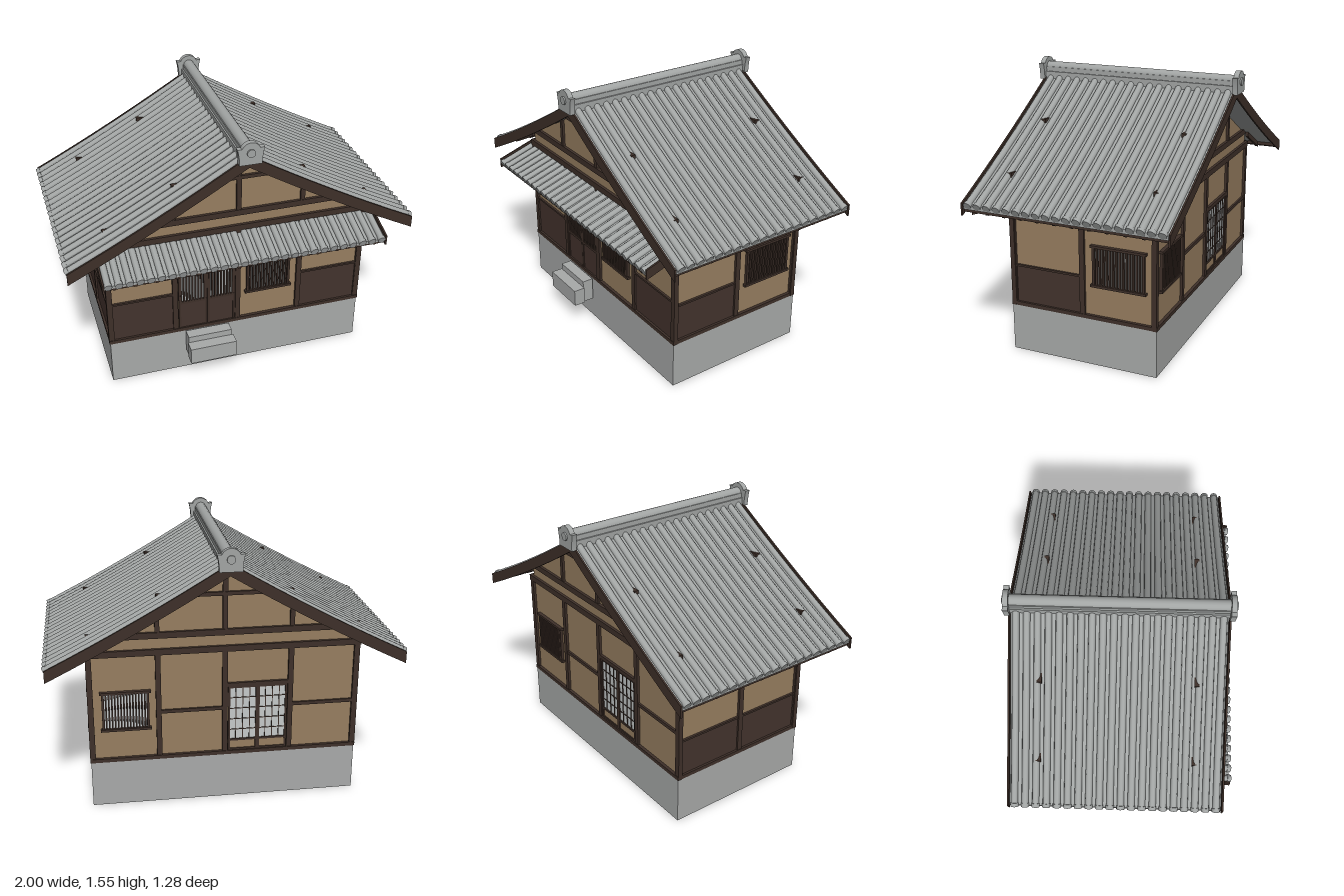
import * as THREE from 'three';

const mat = (name, color) => Object.assign(new THREE.MeshStandardMaterial({ color }), { name });

export function createModel() {
  const root = new THREE.Group();
  root.name = 'tiledHouse';
  const stone = mat('stone grey', 0xa8aaa9);
  const tile = mat('roof tile grey', 0xa2a5a4);
  const plaster = mat('tan plaster', 0x977e60);
  const wood = mat('dark timber', 0x3e3029);
  const board = mat('wainscot board', 0x43332d);
  const paper = mat('window paper', 0xc6caca);

  const add = (parent, name, geo, m) => {
    const mesh = new THREE.Mesh(geo, m);
    mesh.name = name;
    parent.add(mesh);
    return mesh;
  };
  // Box given by its limits
  const box = (parent, name, m, x0, x1, y0, y1, z0, z1) => {
    const mesh = add(parent, name, new THREE.BoxGeometry(x1 - x0, y1 - y0, z1 - z0), m);
    mesh.position.set((x0 + x1) / 2, (y0 + y1) / 2, (z0 + z1) / 2);
    return mesh;
  };
  const group = (name, parent = root) => {
    const g = new THREE.Group();
    g.name = name;
    parent.add(g);
    return g;
  };
  const extrude = (pts, depth) => new THREE.ExtrudeGeometry(
    new THREE.Shape(pts.map(p => new THREE.Vector2(...p))), { depth, bevelEnabled: false });

  // Roof heights: slightly sagging main slope, straight front canopy
  const roofY = x => 1.458 - 0.551 * x - 0.06 * x * (1 - x);
  const canopyY = z => 0.915 - 0.33 * (z - 0.42);
  // Band following a slope between two offsets
  const band = (f, a, b, top, bottom, n = 8) => {
    const up = [], low = [];
    for (let i = 0; i <= n; i++) {
      const x = a + (b - a) * i / n;
      up.push([x, f(x) + top]);
      low.push([x, f(x) + bottom]);
    }
    return low.concat(up.reverse());
  };

  // Stone base, open underneath
  const base = group('base');
  box(base, 'baseFront', stone, -0.765, 0.765, 0, 0.275, 0.417, 0.425);
  box(base, 'baseBack', stone, -0.765, 0.765, 0, 0.275, -0.45, -0.442);
  for (const s of [-1, 1])
    box(base, 'baseSide', stone, s * 0.761 - 0.004, s * 0.761 + 0.004, 0, 0.275, -0.442, 0.417);
  box(base, 'baseFloor', stone, -0.757, 0.757, 0.262, 0.274, -0.442, 0.417);
  box(base, 'upperStep', stone, -0.32, -0.06, 0.135, 0.275, 0.435, 0.5);
  box(base, 'lowerStep', stone, -0.325, -0.05, 0.135, 0.237, 0.5, 0.567);

  // Plaster body with gables
  const body = [[-0.75, 0.278], [0.75, 0.278], [0.75, roofY(0.75) - 0.035], [0.4, roofY(0.4) - 0.035],
    [0, roofY(0) - 0.035], [-0.4, roofY(0.4) - 0.035], [-0.75, roofY(0.75) - 0.035]];
  add(root, 'plasterBody', extrude(body, 0.845), plaster).position.z = -0.435;

  // Wall faces: local x along the wall, local z outward
  const face = (name, x, z, turn) => {
    const g = group(name);
    g.position.set(x, 0, z);
    g.rotation.y = turn;
    return g;
  };
  const front = face('frontWall', 0, 0.41, 0);
  const back = face('backWall', 0, -0.435, Math.PI);
  const right = face('leftSideWall', 0.75, -0.0125, Math.PI / 2);
  const left = face('rightSideWall', -0.75, -0.0125, -Math.PI / 2);

  const wainscot = (w, u0, u1, top) => {
    box(w, 'wainscot', board, u0, u1, 0.29, top, 0, 0.005);
    box(w, 'wainscotRail', wood, u0, u1, top - 0.005, top + 0.006, 0, 0.013);
  };
  const bars = (w, u0, u1, y0, y1, n, depth = 0.016) => {
    box(w, 'paper', paper, u0, u1, y0, y1, 0, 0.003);
    const pitch = (u1 - u0) / n;
    for (let i = 0; i <= n; i++)
      box(w, 'latticeBar', wood, u0 + i * pitch - pitch * 0.27, u0 + i * pitch + pitch * 0.27, y0, y1, 0.003, depth);
  };
  const latticeWindow = (w, c, half) => {
    const g = group('latticeWindow', w);
    bars(g, c - half, c + half, 0.475, 0.695, 15);
    for (const y of [0.472, 0.697])
      box(g, 'windowRail', wood, c - half - 0.017, c + half + 0.017, y - 0.007, y + 0.007, 0, 0.022);
    for (const s of [-1, 1])
      box(g, 'windowJamb', wood, c + s * half - 0.007, c + s * half + 0.007, 0.47, 0.7, 0, 0.017);
  };

  // Posts and sills on all sides
  for (const [w, half] of [[front, 0.755], [back, 0.755], [right, 0.422], [left, 0.422]]) {
    const long = half > 0.5;
    const posts = long ? [-0.755, -0.375, 0, 0.375, 0.755] : [-half, 0, half];
    for (const u of posts) box(w, 'post', wood, u - 0.015, u + 0.015, 0.28, 0.93, -0.012, 0.015);
    box(w, 'sill', wood, -half - 0.015, half + 0.015, 0.273, 0.295, -0.01, 0.018);
    if (!long) box(w, 'wallPlate', wood, -half, half, 0.9, 0.95, -0.01, 0.015);
  }

  // Front bays: boards, lattice door, window
  wainscot(front, -0.74, -0.39, 0.54);
  wainscot(front, 0.39, 0.74, 0.54);
  latticeWindow(front, 0.185, 0.125);
  box(front, 'doorLintel', wood, -0.36, -0.015, 0.705, 0.728, 0, 0.016);
  for (const u of [-0.355, -0.185]) {
    const door = group('latticeDoor', front);
    box(door, 'doorPanel', board, u, u + 0.168, 0.295, 0.475, 0, 0.009);
    box(door, 'doorMidRail', wood, u, u + 0.168, 0.465, 0.48, 0, 0.014);
    box(door, 'doorTopRail', wood, u, u + 0.168, 0.69, 0.706, 0, 0.014);
    for (const e of [u + 0.006, u + 0.162])
      box(door, 'doorStile', wood, e - 0.006, e + 0.006, 0.295, 0.7, 0, 0.013);
    bars(door, u + 0.014, u + 0.154, 0.48, 0.69, 8, 0.014);
  }

  // Back bays: window, rails, paper doors
  latticeWindow(back, -0.56, 0.125);
  for (const u of [-0.36, 0.39]) box(back, 'midRail', wood, u, u + 0.35, 0.555, 0.575, 0, 0.012);
  box(back, 'doorLintel', wood, 0.015, 0.36, 0.695, 0.718, 0, 0.016);
  for (const u of [0.018, 0.188]) {
    const door = group('paperDoor', back);
    box(door, 'doorPaper', paper, u, u + 0.17, 0.36, 0.7, 0, 0.004);
    box(door, 'doorKickPanel', plaster, u, u + 0.17, 0.295, 0.36, 0, 0.005);
    for (const y of [0.3, 0.36, 0.69])
      box(door, 'doorRail', wood, u, u + 0.17, y - 0.006, y + 0.006, 0, 0.011);
    for (let i = 1; i < 5; i++)
      box(door, 'doorMuntin', wood, u, u + 0.17, 0.357 + i * 0.066, 0.361 + i * 0.066, 0, 0.008);
    for (let i = 0; i <= 4; i++) {
      const h = i % 4 ? 0.0022 : 0.006, c = u + 0.006 + i * 0.0395;
      box(door, 'doorStile', wood, c - h, c + h, i % 4 ? 0.36 : 0.295, 0.695, 0, i % 4 ? 0.008 : 0.011);
    }
  }

  // Side bays
  wainscot(right, -0.41, -0.015, 0.512);
  latticeWindow(right, 0.215, 0.145);
  wainscot(left, -0.41, -0.015, 0.512);
  wainscot(left, 0.015, 0.41, 0.512);

  // Gable timbers, the beam ends rising through the roof
  for (const w of [front, back]) {
    const g = group('gableFrame', w);
    box(g, 'lowerTie', wood, -0.775, 0.775, 0.91, 0.945, -0.01, 0.017);
    box(g, 'gableBeam', wood, -0.762, 0.762, 1.008, 1.043, -0.01, 0.017);
    box(g, 'collarBeam', wood, -0.378, 0.378, 1.236, 1.257, -0.01, 0.016);
    box(g, 'kingPost', wood, -0.014, 0.014, 1.04, 1.41, -0.01, 0.014);
    for (const s of [-1, 1]) box(g, 'gableStrut', wood, s * 0.375 - 0.013, s * 0.375 + 0.013, 1.04, 1.21, -0.01, 0.014);
  }

  // One round tile row with its end cap
  const tileRow = (parent, pts, r) => {
    const v = pts.map(p => new THREE.Vector3(...p));
    add(parent, 'tileRow', new THREE.TubeGeometry(new THREE.CatmullRomCurve3(v), 8, r, 10), tile);
    const end = v[v.length - 1];
    const dir = end.clone().sub(v[v.length - 2]).normalize();
    const cap = add(parent, 'tileCap', new THREE.CylinderGeometry(r * 1.15, r * 1.15, 0.022, 12), tile);
    cap.position.copy(end).addScaledVector(dir, -0.008);
    cap.quaternion.setFromUnitVectors(new THREE.Vector3(0, 1, 0), dir);
  };

  // Main roof, one slope mirrored by a half turn about the ridge
  const zMid = -0.0125;
  for (const turn of [0, Math.PI]) {
    const slope = group('roofSlope');
    slope.position.z = zMid;
    slope.rotation.y = turn;
    add(slope, 'roofDeck', extrude(band(roofY, 0, 0.98, -0.008, -0.032), 1.165).translate(0, 0, -0.5825), tile);
    for (let i = 0; i < 20; i++) {
      const z = (i - 9.5) * 0.0585;
      tileRow(slope, [0.02, 0.26, 0.5, 0.74, 0.985].map(x => [x, roofY(x) - 0.008, z]), 0.0195);
    }
    for (let i = 0; i < 10; i++)
      add(slope, 'rafter', extrude(band(roofY, 0.72, 0.965, -0.03, -0.062, 3), 0.018), wood)
        .position.z = (i - 4.5) * 0.0995 - 0.009;
    add(slope, 'eaveBoard', extrude(band(roofY, 0.95, 0.972, -0.03, -0.052, 1), 1.165), wood).position.z = -0.5825;
    for (const z of [0.587, -0.597])
      add(slope, 'bargeboard', extrude(band(roofY, 0, 0.985, 0.002, -0.066), 0.01), wood).position.z = z;
  }

  // Ridge
  const ridge = group('ridge');
  box(ridge, 'ridgeBase', tile, -0.045, 0.045, 1.39, 1.465, -0.605, 0.58);
  box(ridge, 'ridgeCourse', tile, -0.036, 0.036, 1.465, 1.492, -0.605, 0.58);
  const cover = add(ridge, 'ridgeCover', new THREE.CylinderGeometry(0.032, 0.032, 1.185, 16), tile);
  cover.rotation.x = Math.PI / 2;
  cover.position.set(0, 1.488, zMid);

  // Ridge end ornaments: flared plate with a round head and boss
  const plate = new THREE.Shape();
  plate.moveTo(-0.062, 1.42);
  plate.lineTo(0.062, 1.42);
  plate.quadraticCurveTo(0.062, 1.47, 0.074, 1.515);
  plate.lineTo(0.05, 1.513);
  plate.absarc(0, 1.492, 0.054, 0.4, Math.PI - 0.4, false);
  plate.lineTo(-0.074, 1.515);
  plate.quadraticCurveTo(-0.062, 1.47, -0.062, 1.42);
  for (const s of [-1, 1]) {
    const end = group('ridgeEnd');
    end.position.z = s > 0 ? 0.575 : -0.6;
    end.rotation.y = s > 0 ? 0 : Math.PI;
    add(end, 'ridgeEndPlate', new THREE.ExtrudeGeometry(plate, { depth: 0.03, bevelEnabled: false, curveSegments: 14 }), tile);
    const boss = add(end, 'ridgeEndBoss', new THREE.CylinderGeometry(0.023, 0.023, 0.01, 18), tile);
    boss.rotation.x = Math.PI / 2;
    boss.position.set(0, 1.487, 0.033);
  }

  // Front canopy; profiles drawn in z and y, extruded across x
  const canopy = group('frontCanopy');
  const across = (name, m, a, b, top, bottom, x, width) => {
    const mesh = add(canopy, name, extrude(band(canopyY, a, b, top, bottom, 1), width), m);
    mesh.rotation.y = -Math.PI / 2;
    mesh.position.x = x + width / 2;
  };
  across('canopyDeck', tile, 0.41, 0.625, -0.02, -0.036, 0, 1.61);
  for (let i = 0; i < 28; i++) {
    const x = (i - 13.5) * 0.058;
    tileRow(canopy, [[x, canopyY(0.41) - 0.02, 0.41], [x, canopyY(0.63) - 0.02, 0.63]], 0.019);
  }
  for (let i = 0; i < 14; i++)
    across('canopyRafter', wood, 0.41, 0.618, -0.035, -0.056, (i - 6.5) * 0.115, 0.016);
  across('canopyEaveBoard', wood, 0.605, 0.622, -0.035, -0.048, 0, 1.61);
  for (const s of [-1, 1])
    across('canopyBargeboard', wood, 0.41, 0.632, 0.002, -0.055, s * 0.81, 0.01);

  return root;
}
